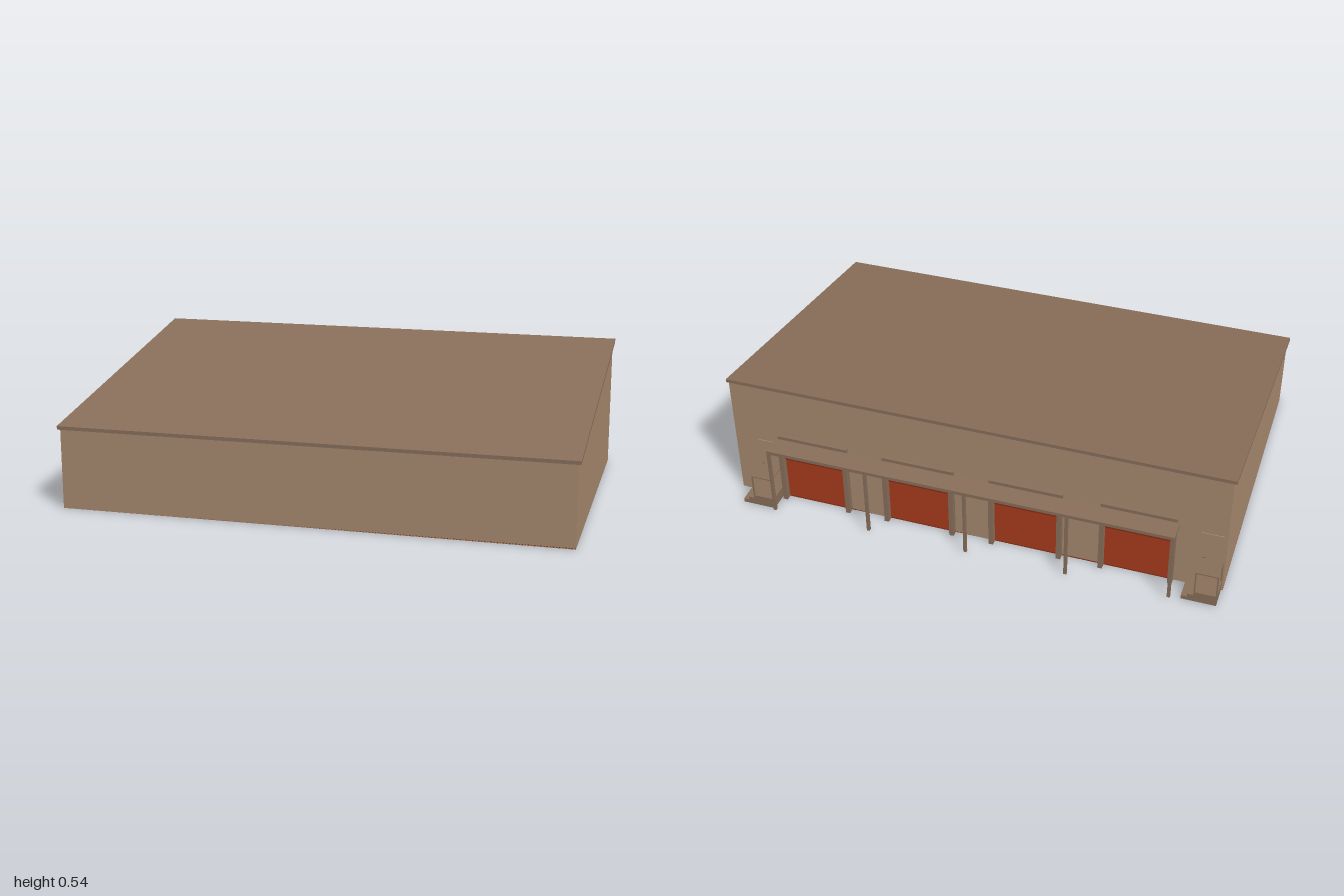
import * as THREE from 'three';

const mat = (color, side = THREE.FrontSide) => new THREE.MeshStandardMaterial({ color, side });
const wallMat = mat(0xa98b70, THREE.DoubleSide);
const trimMat = mat(0x8a705b);
const redMat = mat(0x8a2e14);

const BACK = -0.575, FRONT = 0.667, HALF = 0.99;
const H_FRONT = 0.32, H_BACK = 0.525;
const BAYS = [-0.655, -0.217, 0.217, 0.655];
const BAY_W = 0.29, JAMB = 0.018, OPEN_H = 0.285;

// Box given by its min and max corners
function box(parent, name, material, [x0, y0, z0], [x1, y1, z1]) {
  const m = new THREE.Mesh(new THREE.BoxGeometry(x1 - x0, y1 - y0, z1 - z0), material);
  m.position.set((x0 + x1) / 2, (y0 + y1) / 2, (z0 + z1) / 2);
  m.name = name;
  parent.add(m);
  return m;
}

function polygon(points) {
  return new THREE.Shape(points.map(([x, y]) => new THREE.Vector2(x, y)));
}

function sheet(parent, name, points) {
  const m = new THREE.Mesh(new THREE.ShapeGeometry(polygon(points)), wallMat);
  m.name = name;
  parent.add(m);
  return m;
}

function buildShell(group) {
  const shell = new THREE.Group();
  shell.name = 'buildingShell';
  group.add(shell);

  // Front wall
  sheet(shell, 'frontWall', [[-HALF, 0], [HALF, 0], [HALF, H_FRONT], [-HALF, H_FRONT]])
    .position.z = FRONT;

  // Back wall, notched around each loading bay
  const outline = [[-HALF, 0]];
  for (const x of BAYS) {
    const a = x - BAY_W / 2 + JAMB, b = x + BAY_W / 2 - JAMB;
    outline.push([a, 0], [a, OPEN_H], [b, OPEN_H], [b, 0]);
  }
  outline.push([HALF, 0], [HALF, H_BACK], [-HALF, H_BACK]);
  const back = sheet(shell, 'backWall', outline.map(([x, y]) => [-x, y]).reverse());
  back.rotation.y = Math.PI;
  back.position.z = BACK;

  // Sloped side walls
  for (const s of [-1, 1]) {
    const side = sheet(shell, s > 0 ? 'leftWall' : 'rightWall',
      [[-FRONT, 0], [-BACK, 0], [-BACK, H_BACK], [-FRONT, H_FRONT]]);
    side.rotation.y = Math.PI / 2;
    side.position.x = s * HALF;
  }

  // Floor slab
  box(shell, 'floor', redMat, [-HALF, 0, BACK], [HALF, 0.005, FRONT]);

  // Single-pitch roof slab with plumb ends
  const roof = new THREE.Mesh(new THREE.ExtrudeGeometry(
    polygon([[-0.675, 0.315], [0.577, 0.522], [0.577, 0.536], [-0.675, 0.329]]),
    { depth: 2, bevelEnabled: false }), trimMat);
  roof.rotation.y = Math.PI / 2;
  roof.position.x = -1;
  roof.name = 'roof';
  shell.add(roof);
}

// Framed opening with a half-raised door
function buildBay(group, x) {
  const bay = new THREE.Group();
  bay.name = 'loadingBay';
  bay.position.x = x;
  group.add(bay);
  const w = BAY_W / 2;
  for (const s of [-1, 1]) {
    const a = s * w, b = s * (w - JAMB);
    box(bay, 'doorJamb', trimMat, [Math.min(a, b), 0, -0.6], [Math.max(a, b), OPEN_H, BACK]);
  }
  box(bay, 'doorHead', trimMat, [-w, OPEN_H - 0.012, -0.588], [w, 0.312, BACK]);
  box(bay, 'rollDoor', redMat, [-w + JAMB, 0.19, -0.577], [w - JAMB, OPEN_H, -0.571]);
}

function buildCanopy(group) {
  const canopy = new THREE.Group();
  canopy.name = 'canopy';
  group.add(canopy);
  box(canopy, 'canopyRoof', trimMat, [-0.81, 0.285, -0.673], [0.81, 0.299, -0.589]);
  for (let i = -2; i <= 2; i++) {
    const x = i * 0.402;
    box(canopy, 'canopyPost', trimMat, [x - 0.006, 0, -0.673], [x + 0.006, 0.285, -0.661]);
  }
}

// Side door with landing, steps and railing; x is the landing's -x edge
function buildEntrance(group, x) {
  const e = new THREE.Group();
  e.name = 'sideEntrance';
  e.position.x = x;
  group.add(e);
  const z0 = -0.668, L = 0.088;
  box(e, 'landing', trimMat, [0, 0.004, z0], [L, 0.05, BACK]);
  box(e, 'upperStep', trimMat, [L, 0.004, z0], [L + 0.023, 0.035, BACK]);
  box(e, 'lowerStep', trimMat, [L + 0.023, 0.004, z0], [L + 0.046, 0.02, BACK]);
  box(e, 'sideDoor', wallMat, [0.006, 0.05, -0.578], [L + 0.004, 0.266, BACK]);
  box(e, 'doorHandle', trimMat, [0.07, 0.15, -0.584], [0.08, 0.155, -0.578]);

  // Railing on the outer and closed sides
  const t = 0.005;
  box(e, 'outerRail', trimMat, [0, 0.143, z0], [L, 0.148, z0 + t]);
  box(e, 'endRail', trimMat, [0, 0.143, z0], [t, 0.148, BACK]);
  for (const [px, pz] of [[0, z0], [L - t, z0], [0, BACK - t]])
    box(e, 'railPost', trimMat, [px, 0.05, pz], [px + t, 0.145, pz + t]);
}

export function createModel() {
  const group = new THREE.Group();
  group.name = 'warehouse';
  buildShell(group);
  BAYS.forEach((x) => buildBay(group, x));
  buildCanopy(group);
  [-0.984, 0.806].forEach((x) => buildEntrance(group, x));
  return group;
}
